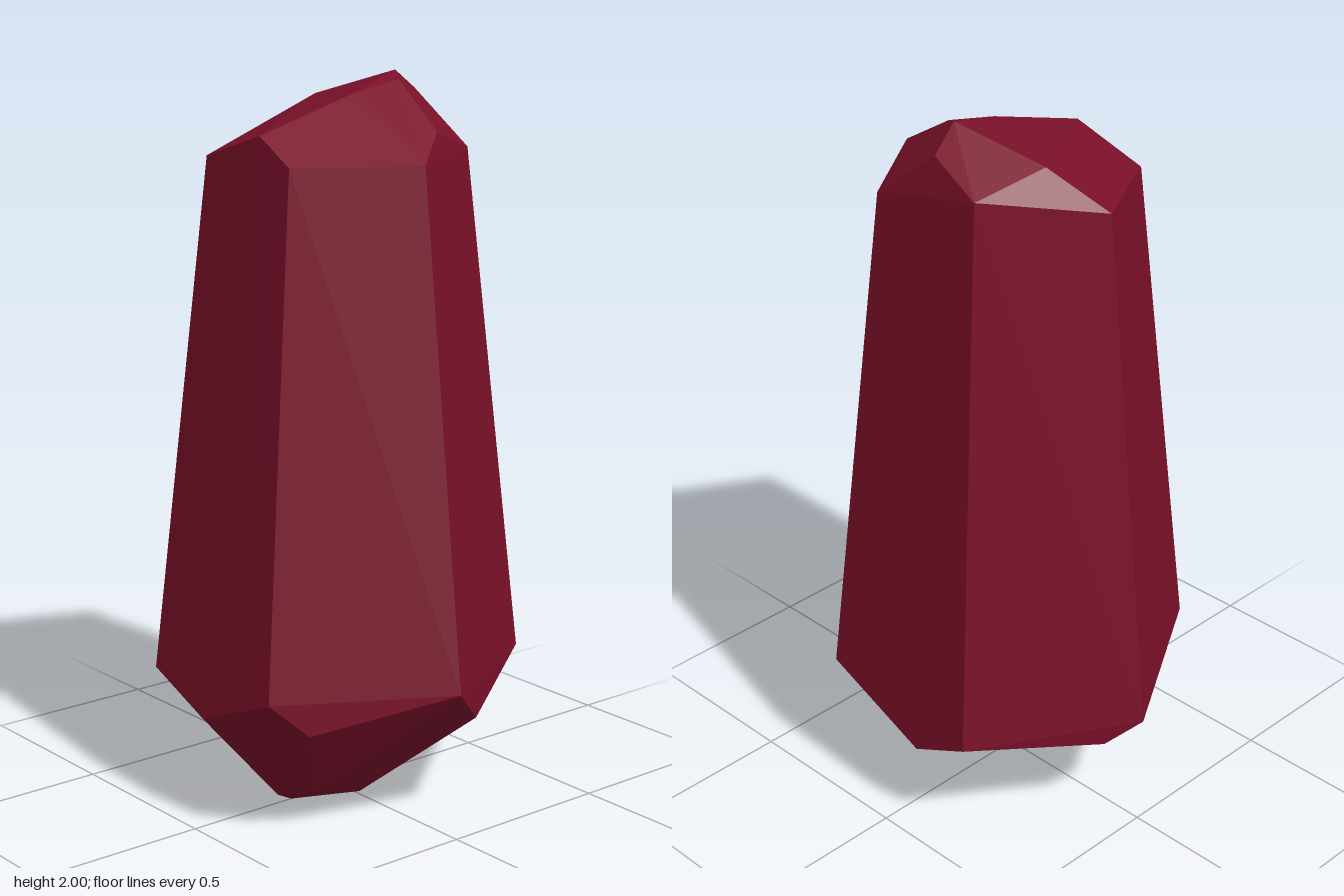
import * as THREE from 'three';
import { ConvexGeometry } from 'three/addons/geometries/ConvexGeometry.js';

// Corner heights, anticlockwise from the front (+z) corner towards +x
const LOWER_HEIGHTS = [0.41, 0.39, 0.34, 0.34, 0.38, 0.41];
const UPPER_HEIGHTS = [1.79, 1.8, 1.88, 1.81, 1.79, 1.79];

// One hexagonal ring of the tapered shaft
function hexRing(radius, heights) {
  return heights.map((y, i) => {
    const a = (i * Math.PI) / 3;
    return new THREE.Vector3(Math.sin(a) * radius, y, Math.cos(a) * radius);
  });
}

const toVectors = (list) => list.map((p) => new THREE.Vector3(...p));

export function createModel() {
  const group = new THREE.Group();
  group.name = 'crystal';

  // Where the lower facets bite into the shaft sides, and the blunt off-centre tip
  const lowerTip = toVectors([
    [-0.35, 0.32, 0.31], [0.12, 0.3, 0.44], [0.45, 0.26, -0.08],
    [0.09, 0.28, -0.45], [-0.455, 0.3, -0.02],
    [-0.24, 0.1, 0.19], [-0.08, 0.06, 0.19], [-0.24, 0.04, 0.03],
    [-0.17, 0, 0], [-0.02, 0.045, 0.03],
  ]);

  // Slanted cap: a ridge rising towards +x, with a chipped corner beside the peak
  const cap = toVectors([
    [-0.3, 1.86, 0.05], [0, 1.95, 0.06], [0.15, 1.98, 0.07],
    [0.18, 2, 0.02], [0.275, 1.945, -0.01], [0.11, 1.86, 0.27],
    [0.1, 1.925, -0.22],
  ]);

  const shape = new ConvexGeometry([
    ...hexRing(0.51, LOWER_HEIGHTS),
    ...hexRing(0.35, UPPER_HEIGHTS),
    ...lowerTip,
    ...cap,
  ]);
  const shard = new THREE.Mesh(
    shape,
    new THREE.MeshStandardMaterial({ color: 0x7a1029, flatShading: true })
  );
  shard.name = 'shard';
  group.add(shard);
  return group;
}
